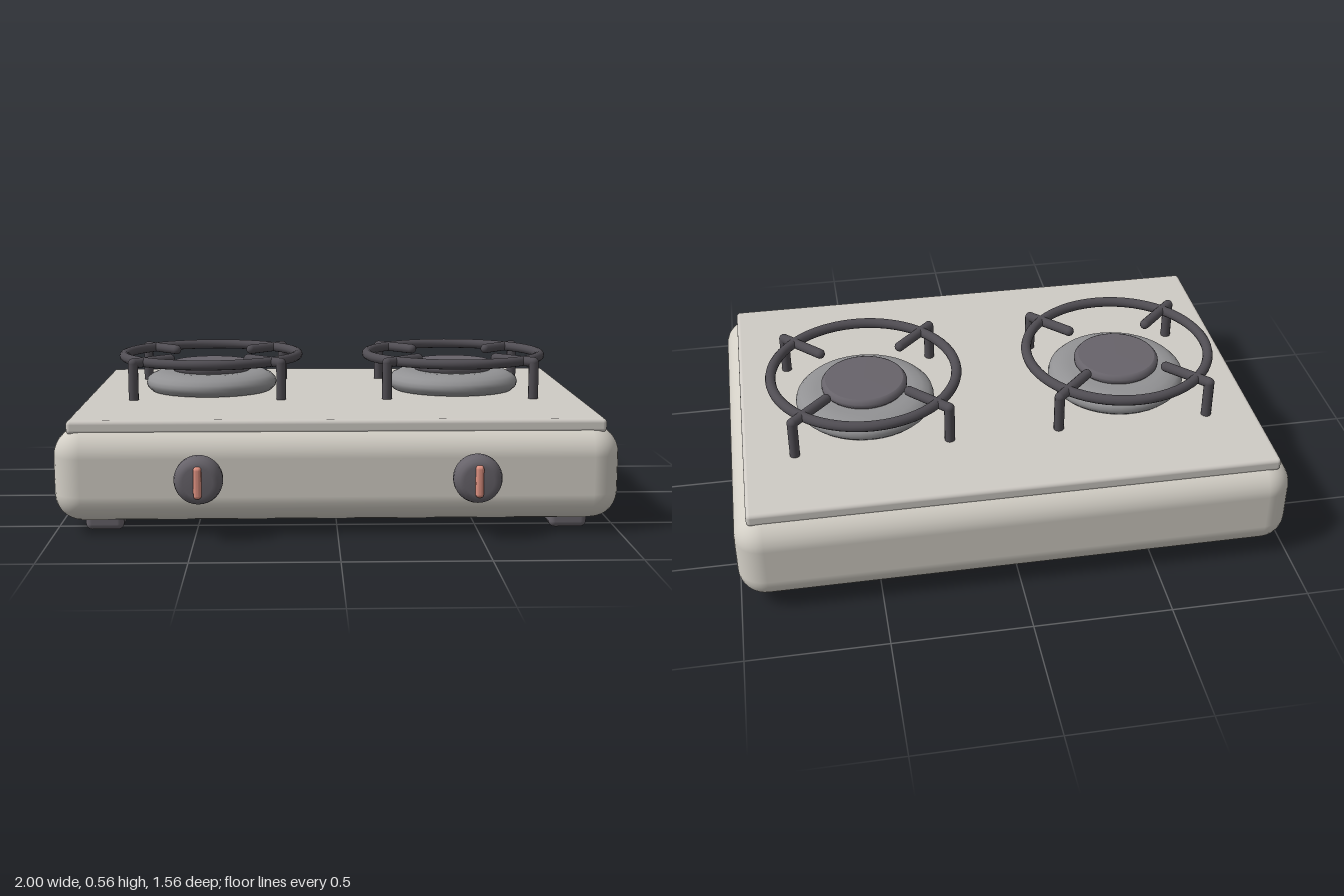
import * as THREE from 'three';
import { RoundedBoxGeometry } from 'three/addons/geometries/RoundedBoxGeometry.js';

const material = (name, color) => {
  const m = new THREE.MeshStandardMaterial({ color });
  m.name = name;
  return m;
};

export function createModel() {
  const enamel = material('warm grey enamel', 0xd3cfc6);
  const topPlate = material('pale grey plate', 0xcfcbc5);
  const iron = material('dark iron', 0x504d53);
  const steel = material('burner steel', 0x929294);
  const dark = material('dark grey', 0x67636a);
  const accent = material('coral accent', 0xdd9080);

  const model = new THREE.Group();
  model.name = 'twoBurnerStove';

  const add = (parent, name, geometry, mat, x = 0, y = 0, z = 0) => {
    const mesh = new THREE.Mesh(geometry, mat);
    mesh.name = name;
    mesh.position.set(x, y, z);
    parent.add(mesh);
    return mesh;
  };
  // Smooth round profile; repeated points keep an edge crisp
  const lathe = (points, segments = 40) =>
    new THREE.LatheGeometry(points.map(([r, y]) => new THREE.Vector2(r, y)), segments);

  // Casing and cooking surface
  add(model, 'body', new RoundedBoxGeometry(2, 0.335, 1.445, 4, 0.1), enamel, 0, 0.2145, -0.0575);
  add(model, 'cookingPlate', new RoundedBoxGeometry(1.9, 0.05, 1.345, 3, 0.015), topPlate, 0, 0.385, -0.0575);

  // Feet
  const footGeometry = new RoundedBoxGeometry(0.136, 0.06, 0.136, 3, 0.022);
  for (const x of [-0.83, 0.83])
    for (const z of [-0.604, 0.499]) add(model, 'foot', footGeometry, dark, x, 0.035, z);

  const burnerGeometry = lathe([
    [0.2, 0], [0.24, 0.005], [0.255, 0.02], [0.259, 0.035], [0.255, 0.05],
    [0.24, 0.065], [0.215, 0.076], [0.18, 0.081], [0, 0.081],
  ]);
  const capGeometry = lathe([
    [0.14, 0], [0.152, 0.004], [0.16, 0.014], [0.16, 0.026], [0.152, 0.037],
    [0.145, 0.04], [0.145, 0.04], [0, 0.041],
  ]);
  const ringGeometry = new THREE.TorusGeometry(0.345, 0.019, 12, 56).rotateX(Math.PI / 2);
  const legGeometry = new THREE.CapsuleGeometry(0.019, 0.15, 5, 12);
  const armGeometry = new THREE.CapsuleGeometry(0.019, 0.182, 5, 12).rotateZ(Math.PI / 2);

  const knobGeometry = lathe([
    [0.06, -0.02], [0.07, 0], [0.081, 0.012], [0.085, 0.03], [0.085, 0.052],
    [0.08, 0.073], [0.068, 0.087], [0.052, 0.093], [0, 0.093],
  ], 32).rotateX(Math.PI / 2);
  const markerGeometry = new RoundedBoxGeometry(0.028, 0.112, 0.04, 3, 0.012);

  for (const x of [-0.483, 0.483]) {
    // Burner with its cap
    const burner = new THREE.Group();
    burner.name = 'burner';
    burner.position.set(x, 0, -0.13);
    model.add(burner);
    add(burner, 'burnerBase', burnerGeometry, steel, 0, 0.407, 0);
    add(burner, 'burnerCap', capGeometry, dark, 0, 0.485, 0);

    // Pan support: ring, four legs and four inward arms
    const support = new THREE.Group();
    support.name = 'panSupport';
    burner.add(support);
    add(support, 'supportRing', ringGeometry, iron, 0, 0.55, 0);
    for (let i = 0; i < 4; i++) {
      const prong = new THREE.Group();
      prong.name = 'prong';
      prong.rotation.y = Math.PI / 4 + (i * Math.PI) / 2;
      support.add(prong);
      add(prong, 'leg', legGeometry, iron, 0.397, 0.475, 0);
      add(prong, 'arm', armGeometry, iron, 0.306, 0.55, 0);
    }

    // Control knob with its marker
    const knob = new THREE.Group();
    knob.name = 'knob';
    knob.position.set(x, 0.219, 0.665);
    model.add(knob);
    add(knob, 'knobBody', knobGeometry, dark);
    add(knob, 'knobMarker', markerGeometry, accent, 0, 0, 0.092);
  }
  return model;
}
